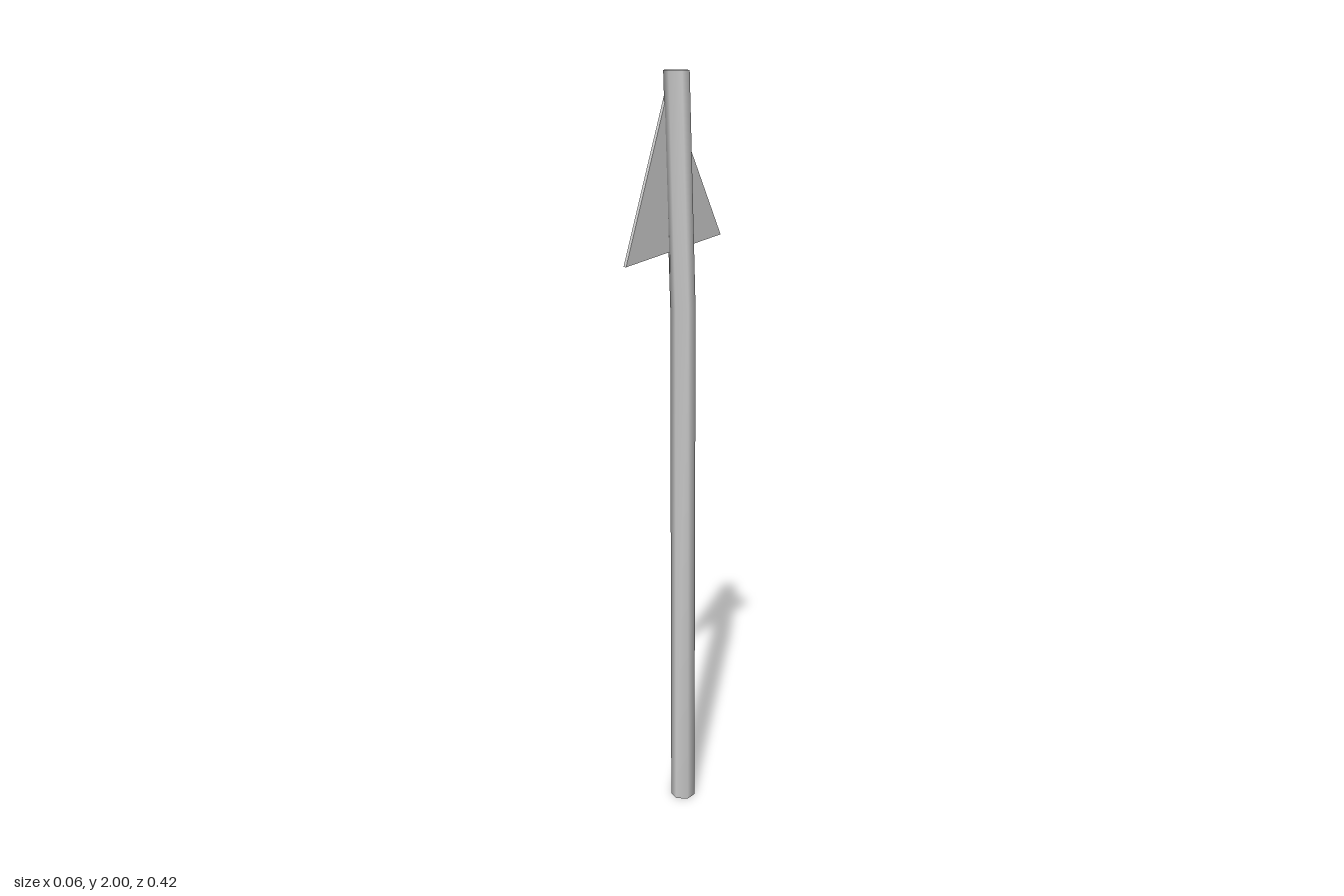
import * as THREE from 'three';
import { mergeVertices } from 'three/addons/utils/BufferGeometryUtils.js';

const grey = () => new THREE.MeshStandardMaterial({ color: 0xcccccc });

// Six-sided pole, upright to the bend, then leaning forward to the top
function makePole() {
  const bendY = 1.4, lean = 0.028;
  let geo = new THREE.CylinderGeometry(0.033, 0.033, 2, 6, 2);
  geo.translate(0, 1, 0);
  const pos = geo.attributes.position;
  for (let i = 0; i < pos.count; i++) {
    const y = pos.getY(i);
    if (Math.abs(y - 1) < 0.01) pos.setY(i, bendY);
    if (y > 1.9) pos.setZ(i, pos.getZ(i) + lean);
  }
  // shared vertices give soft shading around the sides and caps
  geo.deleteAttribute('uv');
  geo.deleteAttribute('normal');
  geo = mergeVertices(geo);
  geo.computeVertexNormals();
  const pole = new THREE.Mesh(geo, grey());
  pole.name = 'pole';
  pole.position.set(0.001, 0, 0.001);
  return pole;
}

// Thin triangular plate fixed to the side of the pole
function makePlate() {
  const corners = [[0.21, 1.53], [-0.21, 1.565], [0.027, 1.96]]; // z, y
  const shape = new THREE.Shape(corners.map(([z, y]) => new THREE.Vector2(-z, y)));
  const geo = new THREE.ExtrudeGeometry(shape, { depth: 0.008, bevelEnabled: false });
  geo.rotateY(Math.PI / 2);
  const plate = new THREE.Mesh(geo, grey());
  plate.name = 'trianglePlate';
  plate.position.x = -0.032;
  return plate;
}

export function createModel() {
  const model = new THREE.Group();
  model.name = 'signPost';
  model.add(makePole(), makePlate());
  return model;
}
